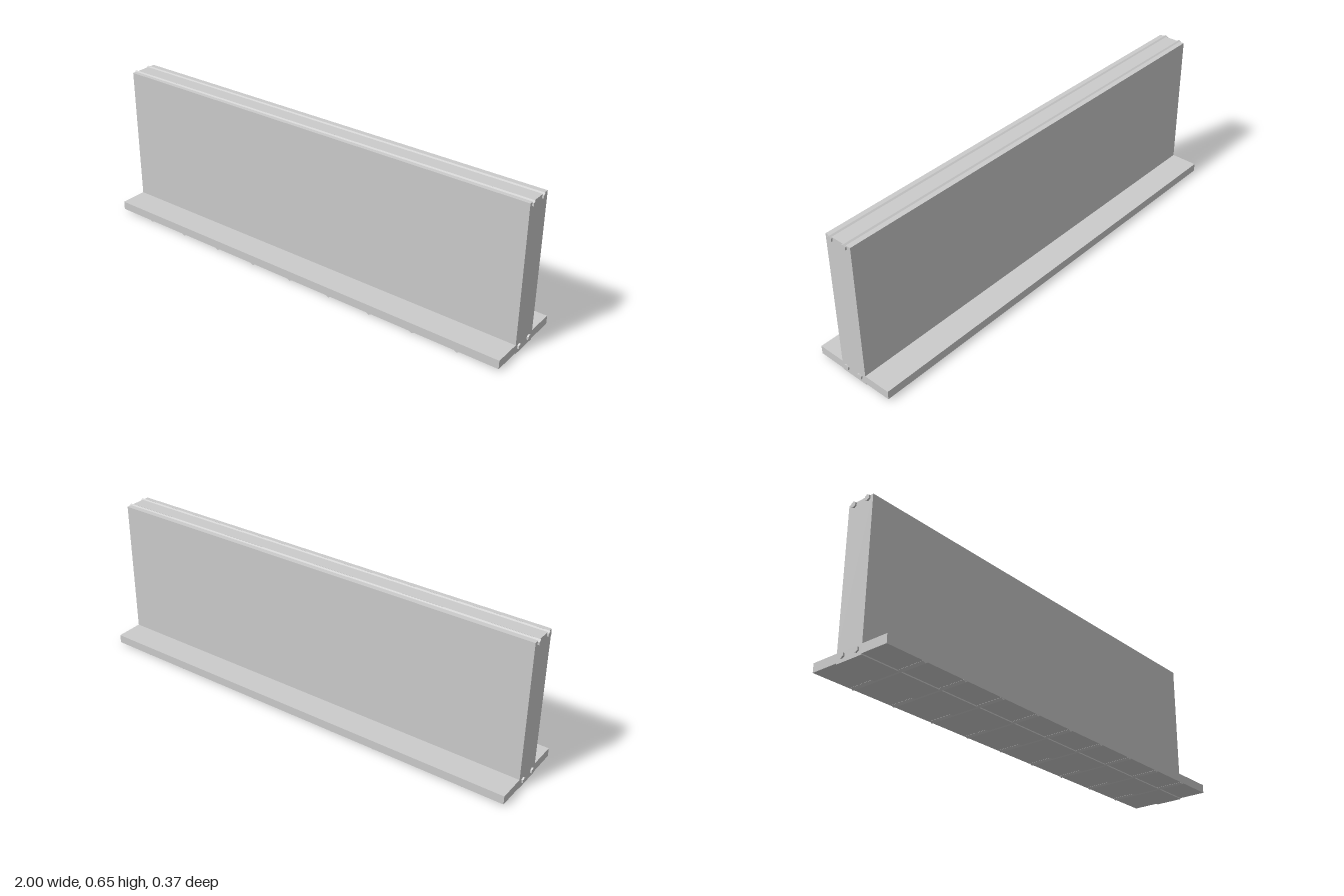
import * as THREE from 'three';

export function createModel() {
  const group = new THREE.Group();
  group.name = 'reinforcedWall';
  const material = new THREE.MeshStandardMaterial({ color: 0xcccccc, flatShading: true });

  const add = (name, geometry) => {
    const mesh = new THREE.Mesh(geometry, material);
    mesh.name = name;
    group.add(mesh);
    return mesh;
  };

  // Concrete body: inverted T section (z, y) with the web dropping just below the footing
  const foot = 0.185, web = 0.0635, half = 0.993;
  const right = [[web, 0.0025], [web, 0.007], [foot, 0.007], [foot, 0.0445], [web, 0.0445], [web, 0.646]];
  const left = right.map(([z, y]) => [-z, y]).reverse();
  const section = new THREE.Shape([...right, ...left].map(([z, y]) => new THREE.Vector2(z, y)));
  const body = new THREE.ExtrudeGeometry(section, { depth: 2 * half, bevelEnabled: false });
  body.translate(0, 0, -half).rotateY(Math.PI / 2);
  add('wallAndFooting', body);

  // Hexagonal reinforcing bars, one corner pointing up, running the full length
  const radius = 0.0128;
  for (const y of [0.0285, 0.637]) {
    for (const z of [0.0385, -0.0345]) {
      const bar = new THREE.CylinderGeometry(radius, radius, 2, 6);
      bar.rotateY(Math.PI / 2).rotateZ(Math.PI / 2);
      // Keep a corner of the hexagon on the vertical axis
      bar.computeBoundingBox();
      if (bar.boundingBox.max.y < radius * 0.95) bar.rotateX(Math.PI / 6);
      add('lengthwiseBar', bar).position.set(0, y, z);
    }
  }

  // Cross bars showing under the footing
  for (let i = -4; i <= 4; i++) {
    const bar = new THREE.CylinderGeometry(radius, radius, 0.364, 6);
    bar.rotateX(Math.PI / 2);
    add('crossBar', bar).position.set(i * 0.203, radius, 0.0025);
  }

  return group;
}
